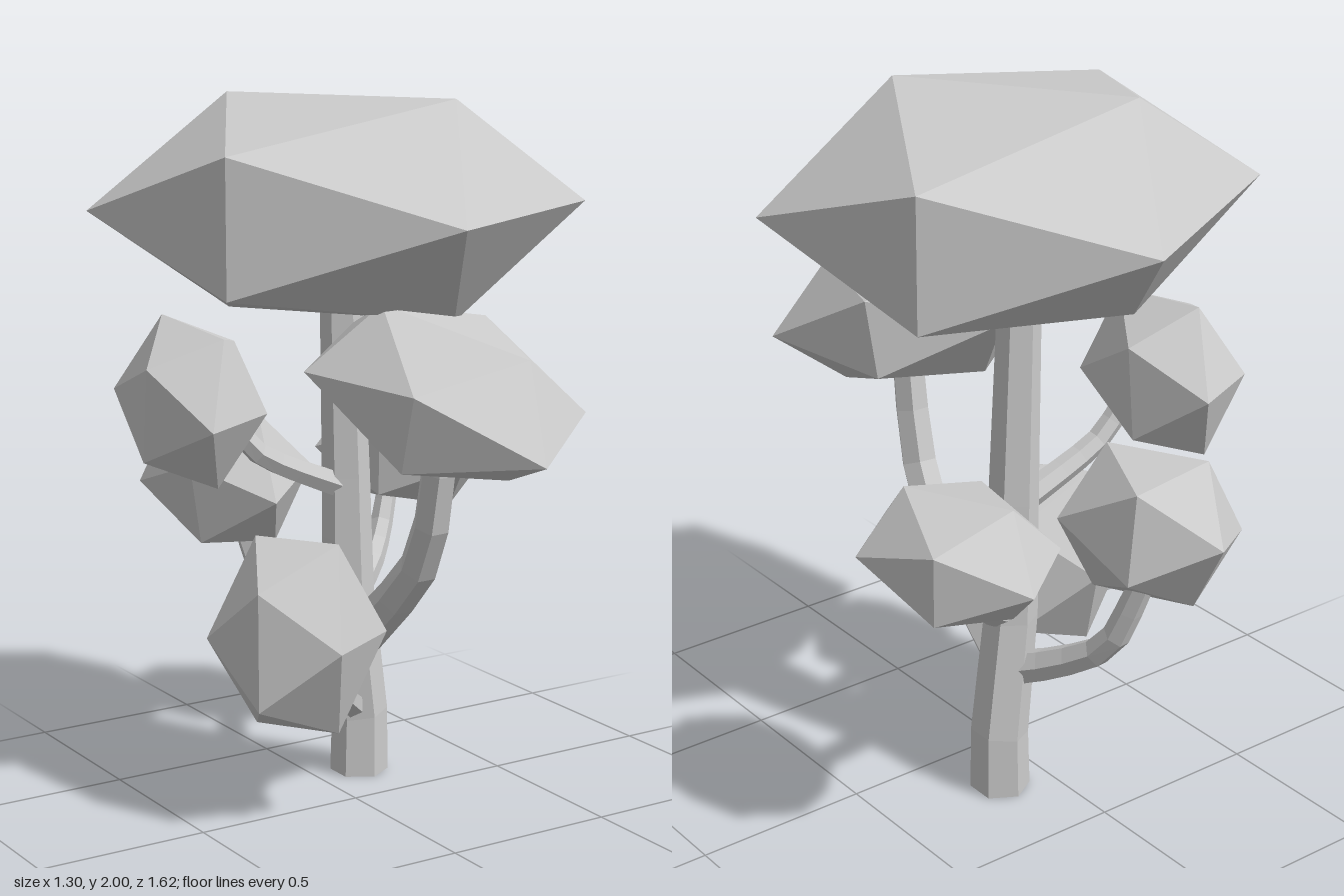
import * as THREE from 'three';

const material = new THREE.MeshStandardMaterial({ color: 0xcccccc, flatShading: true });

// Faceted foliage: an icosahedron with one vertex on the z axis
function foliage(name, position, scale, rotation = [0, 0, 0]) {
  const geometry = new THREE.IcosahedronGeometry(1, 0);
  geometry.rotateX(Math.atan(2 / (1 + Math.sqrt(5))));
  geometry.rotateZ(Math.PI / 2);
  const mesh = new THREE.Mesh(geometry, material);
  mesh.name = name;
  mesh.position.set(...position);
  mesh.scale.set(...scale);
  mesh.rotation.set(...rotation);
  return mesh;
}

// Tapered six-sided limb along a curve; the end rings collapse into caps
function limb(name, points, r0, r1, segments = 8) {
  const curve = new THREE.CatmullRomCurve3(points.map(p => new THREE.Vector3(...p)));
  const sides = 6;
  const geometry = new THREE.TubeGeometry(curve, segments, 1, sides);
  const pos = geometry.attributes.position;
  const v = new THREE.Vector3();
  for (let i = 0; i <= segments; i++) {
    const ring = THREE.MathUtils.clamp(i, 1, segments - 1);
    const t = (ring - 1) / (segments - 2);
    const radius = i === ring ? THREE.MathUtils.lerp(r0, r1, t) : 0;
    const from = curve.getPointAt(i / segments);
    const to = curve.getPointAt(t);
    for (let k = 0; k <= sides; k++) {
      const n = i * (sides + 1) + k;
      v.fromBufferAttribute(pos, n).sub(from).multiplyScalar(radius).add(to);
      pos.setXYZ(n, v.x, Math.max(0, v.y), v.z);
    }
  }
  geometry.computeVertexNormals();
  const mesh = new THREE.Mesh(geometry, material);
  mesh.name = name;
  return mesh;
}

export function createModel() {
  const tree = new THREE.Group();
  tree.name = 'tree';

  // Trunk and branches
  tree.add(
    limb('trunk', [[0.143, 0, -0.205], [0.143, 0.23, -0.205], [0.11, 0.48, -0.205],
      [0.1, 0.9, -0.208], [0.085, 1.44, -0.21]], 0.085, 0.06, 10),
    limb('frontBranch', [[0.11, 0.38, -0.2], [0.11, 0.52, -0.04], [0.11, 0.7, 0.15],
      [0.1, 0.88, 0.24], [0.1, 1.16, 0.28]], 0.065, 0.048),
    limb('lowBranch', [[0.12, 0.2, -0.19], [0.04, 0.26, -0.12], [-0.03, 0.32, -0.05],
      [-0.1, 0.42, 0]], 0.04, 0.03),
    limb('leftBranch', [[0.13, 0.55, -0.2], [0.22, 0.61, -0.26], [0.3, 0.69, -0.33],
      [0.36, 0.82, -0.38]], 0.04, 0.03),
    limb('rightBranch', [[0.06, 0.88, -0.2], [-0.08, 0.94, -0.21], [-0.19, 1.0, -0.22],
      [-0.27, 1.1, -0.23]], 0.04, 0.03),
    limb('backBranch', [[0.1, 0.38, -0.23], [0.05, 0.44, -0.36], [0, 0.54, -0.5],
      [-0.04, 0.75, -0.585]], 0.05, 0.035),
  );

  // Foliage
  tree.add(
    foliage('topFoliage', [-0.015, 1.7, -0.057], [0.71, 0.353, 0.608]),
    foliage('frontFoliage', [0.055, 1.242, 0.355], [0.352, 0.205, 0.47], [0.26, 0, 0]),
    foliage('lowFoliage', [-0.22, 0.536, 0.045], [0.255, 0.318, 0.231]),
    foliage('leftFoliage', [0.422, 0.91, -0.39], [0.253, 0.185, 0.318]),
    foliage('rightFoliage', [-0.385, 1.162, -0.25], [0.21, 0.25, 0.31], [0.1, -0.3, 0]),
    foliage('backFoliage', [-0.125, 0.875, -0.515], [0.24, 0.235, 0.295], [0.12, 0, 0.2]),
  );
  return tree;
}
